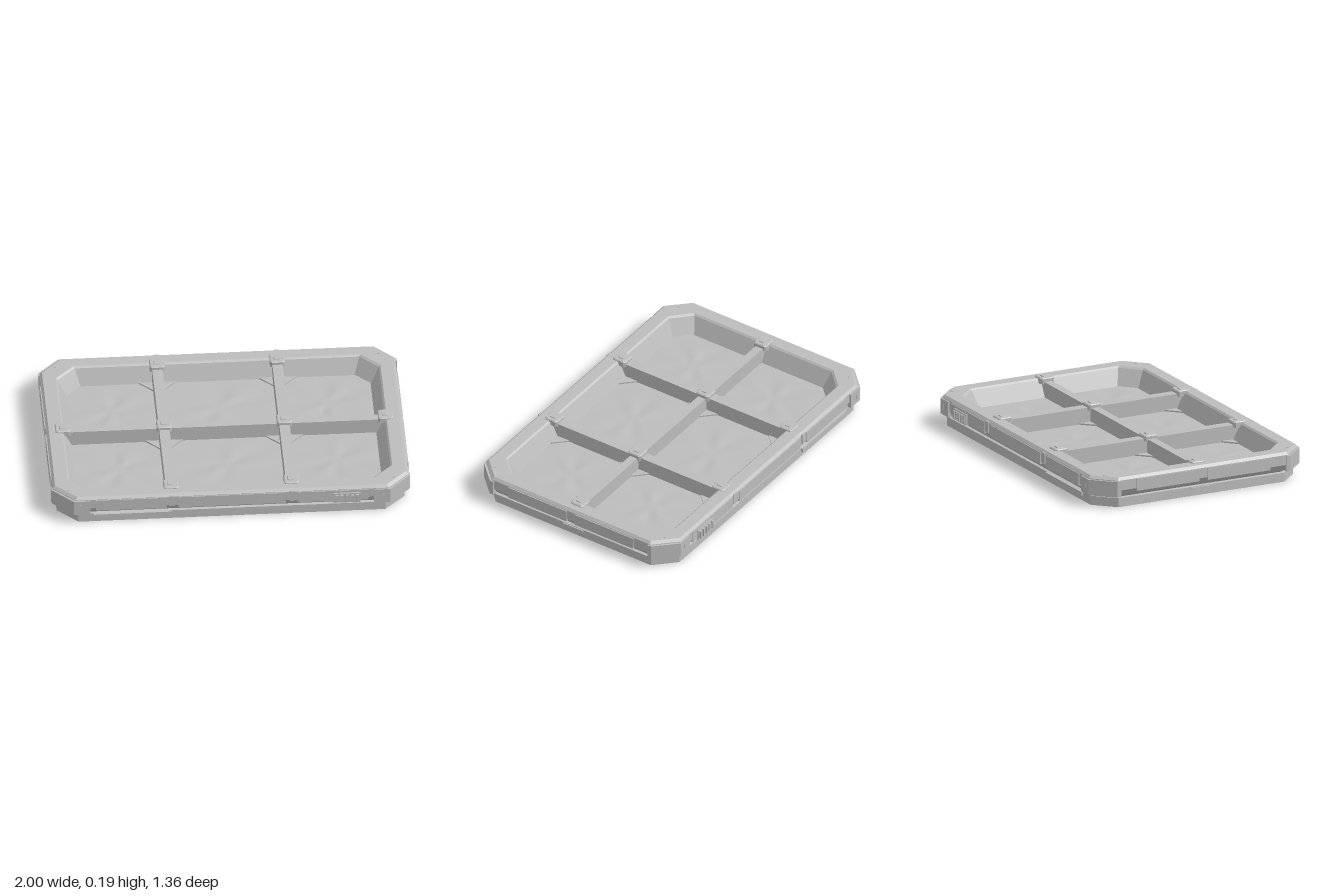
import * as THREE from 'three';

const gray = new THREE.MeshStandardMaterial({ color: 0xbcbcbc });
gray.name = 'plain gray';

// Chamfered rectangle ring: half sizes hx, hz and corner cut c
const ring = (hx, hz, c, y) => [
  [hx, y, -hz + c], [hx, y, hz - c], [hx - c, y, hz], [-hx + c, y, hz],
  [-hx, y, hz - c], [-hx, y, -hz + c], [-hx + c, y, -hz], [hx - c, y, -hz],
];

// Skin a list of rings [hx, hz, c, y], with sharp edges
function loft(profile) {
  const rings = profile.map((p) => ring(...p));
  const pos = [];
  for (let k = 0; k < rings.length - 1; k++) {
    const a = rings[k], b = rings[k + 1];
    for (let i = 0; i < 8; i++) {
      const j = (i + 1) % 8;
      pos.push(...a[i], ...b[i], ...a[j], ...a[j], ...b[i], ...b[j]);
    }
  }
  const g = new THREE.BufferGeometry();
  g.setAttribute('position', new THREE.Float32BufferAttribute(pos, 3));
  g.computeVertexNormals();
  return g;
}

// Flat prism from a plan outline in (x, z)
function prism(points, y0, y1) {
  const shape = new THREE.Shape(points.map(([x, z]) => new THREE.Vector2(x, -z)));
  const g = new THREE.ExtrudeGeometry(shape, { depth: y1 - y0, bevelEnabled: false });
  return g.rotateX(-Math.PI / 2).translate(0, y0, 0);
}

export function createModel() {
  const root = new THREE.Group();
  root.name = 'compartmentTray';
  const add = (name, geo, x = 0, y = 0, z = 0) => {
    const m = new THREE.Mesh(geo, gray);
    m.name = name;
    m.position.set(x, y, z);
    root.add(m);
    return m;
  };
  // Box given by its extents
  const block = (name, x0, x1, y0, y1, z0, z1) =>
    add(name, new THREE.BoxGeometry(Math.abs(x1 - x0), y1 - y0, Math.abs(z1 - z0)),
      (x0 + x1) / 2, (y0 + y1) / 2, (z0 + z1) / 2);

  // Body: base, recessed groove, bevelled rim, inner walls and floor
  add('trayBody', loft([
    [0, 0, 0, 0], [0.97, 0.638, 0.115, 0], [0.97, 0.638, 0.115, 0.052],
    [0.955, 0.623, 0.112, 0.056], [0.965, 0.63, 0.115, 0.066], [0.988, 0.652, 0.118, 0.098],
    [0.992, 0.656, 0.12, 0.102], [0.992, 0.656, 0.12, 0.16],
    [0.978, 0.642, 0.115, 0.175], [0.905, 0.573, 0.105, 0.175],
    [0.895, 0.563, 0.102, 0.166], [0.848, 0.517, 0.085, 0.07], [0, 0, 0, 0.07],
  ]));

  // Dividers between the six compartments
  for (const x of [-0.335, 0.335]) block('crossDivider', x - 0.029, x + 0.029, 0.06, 0.165, -0.57, 0.57);
  block('longDivider', -0.9, 0.9, 0.06, 0.163, -0.024, 0.024);

  // Softly dented floors and corner gussets
  const cells = [[-0.846, -0.364], [-0.306, 0.306], [0.364, 0.846]];
  cells.forEach(([x0, x1], col) => {
    for (const s of [-1, 1]) {
      const w = x1 - x0, d = 0.492;
      const floor = new THREE.PlaneGeometry(w, d, 20, 20).rotateX(-Math.PI / 2);
      const p = floor.attributes.position;
      for (let i = 0; i < p.count; i++) {
        const u = (2 * p.getX(i)) / w, v = (2 * p.getZ(i)) / d;
        const fade = (1 - u * u) * (1 - v * v);
        p.setY(i, 0.004 * fade * Math.sin(5 * Math.atan2(v, u) + col + s) * Math.min(1, 3 * Math.hypot(u, v)));
      }
      floor.computeVertexNormals();
      add('compartmentFloor', floor, (x0 + x1) / 2, 0.075, s * 0.27);

      for (const [x, dir] of [[x0, 1], [x1, -1]]) {
        if (Math.abs(x) > 0.8) continue;
        for (const [z, zd] of [[0.024, 1], [0.517, -1]]) {
          const pts = [[x, s * z], [x + dir * 0.075, s * z], [x, s * (z + zd * 0.075)]];
          add('cornerGusset', prism(pts, 0.07, 0.083));
        }
      }
    }
  });

  // Chamfered pads with raised caps at the divider joints
  const pads = [[-0.9, 0], [0.9, 0]];
  for (const x of [-0.335, 0.335]) for (const z of [-0.562, 0, 0.562]) pads.push([x, z]);
  for (const [x, z] of pads) {
    add('jointPad', loft([
      [0.042, 0.042, 0.01, 0.15], [0.042, 0.042, 0.01, 0.179], [0.037, 0.037, 0.009, 0.184],
      [0.02, 0.02, 0.005, 0.184], [0.018, 0.018, 0.005, 0.189], [0, 0, 0, 0.189],
    ]), x, 0, z);
  }

  for (const sx of [-1, 1]) {
    for (const sz of [-1, 1]) {
      // Corner guards reaching below the rim
      const plan = [[0.79, 0.6], [0.79, 0.664], [0.882, 0.664], [1, 0.543], [1, 0.52], [0.93, 0.52]];
      add('cornerGuard', prism(plan.map(([x, z]) => [sx * x, sz * z]), 0.066, 0.156));
      add('cornerBolt', new THREE.CylinderGeometry(0.008, 0.008, 0.003, 12), sx * 0.905, 0.1765, sz * 0.575);
      block('guardRib', sx * 0.84, sx * 0.848, 0.1, 0.13, sz * 0.66, sz * 0.667);
      // End panels
      block('endPanel', sx * 0.97, sx * 0.998, 0.088, 0.157, sz * 0.027, sz * 0.42);
      // Side panels next to the corners
      block('sidePanel', sx * 0.365, sx * 0.76, 0.088, 0.157, sz * 0.64, sz * 0.661);
      block('sideClip', sx * 0.318, sx * 0.352, 0.1, 0.165, sz * 0.64, sz * 0.661);
    }
    block('endBasePlate', sx * 0.96, sx * 0.977, 0.038, 0.048, -0.068, 0.068);
  }

  for (const s of [-1, 1]) {
    block('middlePanel', -0.3, 0.3, 0.088, 0.157, s * 0.64, s * 0.661);
    block('sideBasePlate', -0.77, -0.34, 0.03, 0.052, s * 0.62, s * 0.65);
    // Ribbed latch
    block('latch', 0.565, 0.715, 0.08, 0.142, s * 0.64, s * 0.669);
    for (let i = 0; i < 5; i++) {
      const x = 0.582 + i * 0.029;
      block('latchRib', x - 0.008, x + 0.008, 0.088, 0.134, s * 0.66, s * 0.679);
    }
  }
  return root;
}
